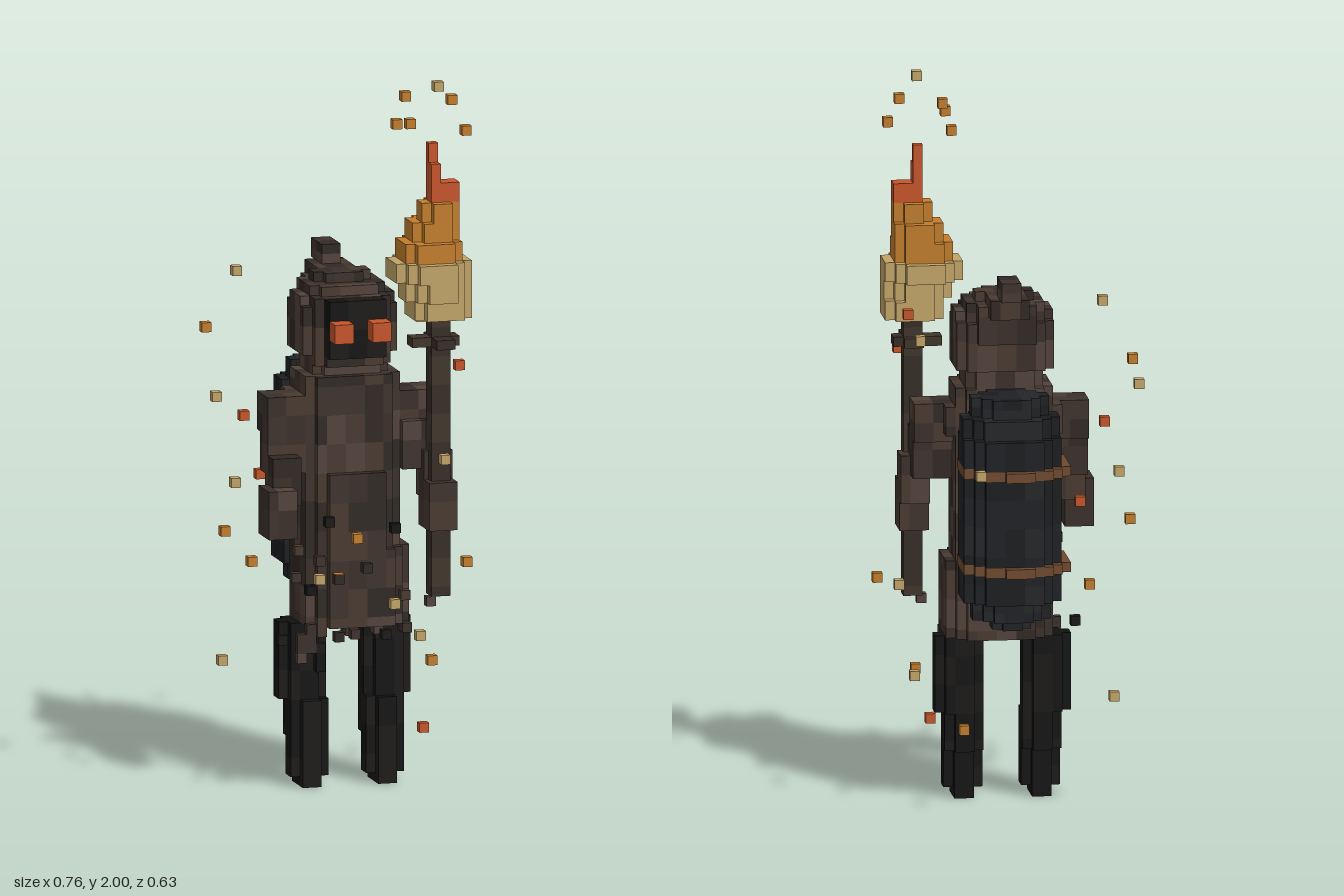
import * as THREE from 'three';
import { mergeVertices } from 'three/addons/utils/BufferGeometryUtils.js';

const U = 2 / 74; // edge of one voxel

const PALETTE = {
  cloth: [0x3a2f2a, 0x483930, 0x302824, 0x52423a, 0x3f332c],
  dark: [0x111111, 0x1a1816],
  barrel: [0x1a1b1e, 0x232528, 0x1e2023],
  leather: [0x70492f],
  wood: [0x40352a, 0x352c25],
  tan: [0xc2a468],
  orange: [0xc27d2c],
  red: [0xc6552a],
};
const materials = new Map();
function material(color) {
  if (!materials.has(color)) materials.set(color, new THREE.MeshStandardMaterial({ color }));
  return materials.get(color);
}

// One shade per small block of voxels
function shade(tone, x, y, z) {
  const list = PALETTE[tone];
  const n = Math.sin(Math.floor(x / 2) * 12.99 + Math.floor(y / 3) * 78.23 + Math.floor(z / 2) * 37.72) * 43758.55;
  return list[Math.floor((n - Math.floor(n)) * list.length)];
}

// Voxel grid: box() fills cells, build() turns exposed faces into meshes
class Voxels {
  constructor(ox, oz) {
    this.cells = new Map();
    this.origin = [ox, 0, oz];
  }
  // cut takes that many steps off the four upright corners
  box(part, tone, x0, x1, y0, y1, z0, z1, cut = 0) {
    for (let x = x0; x < x1; x++)
      for (let z = z0; z < z1; z++) {
        if (Math.min(x - x0, x1 - 1 - x) + Math.min(z - z0, z1 - 1 - z) < cut) continue;
        for (let y = y0; y < y1; y++)
          this.cells.set(`${x},${y},${z}`, { part, color: shade(tone, x, y, z), p: [x, y, z] });
      }
  }
  build(root) {
    const faces = new Map();
    for (const { part, color, p } of this.cells.values()) {
      for (let axis = 0; axis < 3; axis++)
        for (const dir of [1, -1]) {
          const q = [...p];
          q[axis] += dir;
          if (this.cells.has(q.join())) continue;
          const key = part + '|' + color;
          if (!faces.has(key)) faces.set(key, { part, color, pos: [], nor: [] });
          const f = faces.get(key);
          const a = (axis + 1) % 3, b = (axis + 2) % 3;
          const ring = [[0, 0], [1, 0], [1, 1], [0, 1]];
          if (dir < 0) ring.reverse();
          for (const i of [0, 1, 2, 0, 2, 3]) {
            const v = [...p];
            v[axis] += dir > 0 ? 1 : 0;
            v[a] += ring[i][0];
            v[b] += ring[i][1];
            f.pos.push(...v.map((c, k) => (c + this.origin[k]) * U));
            f.nor.push(...[0, 1, 2].map((k) => (k === axis ? dir : 0)));
          }
        }
    }
    for (const { part, color, pos, nor } of faces.values()) {
      let group = root.getObjectByName(part);
      if (!group) {
        group = new THREE.Group();
        group.name = part;
        root.add(group);
      }
      const geo = new THREE.BufferGeometry();
      geo.setAttribute('position', new THREE.Float32BufferAttribute(pos, 3));
      geo.setAttribute('normal', new THREE.Float32BufferAttribute(nor, 3));
      const mesh = new THREE.Mesh(mergeVertices(geo), material(color));
      mesh.name = part + 'Shade';
      group.add(mesh);
    }
  }
}

export function createModel() {
  const root = new THREE.Group();
  root.name = 'torchBearer';
  const body = new Voxels(0, 0.4);

  // Legs, mirrored about the middle of the coat (x = 1)
  for (const side of [-1, 1]) {
    const leg = (a, b, ...rest) =>
      body.box(side < 0 ? 'rightLeg' : 'leftLeg', 'dark', 1 + Math.min(side * a, side * b), 1 + Math.max(side * a, side * b), ...rest);
    leg(3, 5, 0, 1, -1, 3);
    leg(2, 6, 1, 5, -1, 3, 1);
    leg(2, 6, 5, 9, -2, 3, 1);
    leg(2, 7, 9, 17, -2, 2, 1);
  }

  // Coat, from flared hem to shoulders and collar
  body.box('coat', 'cloth', -4, 7, 17, 25, -4, 6, 2);
  body.box('coat', 'cloth', -4, 6, 25, 33, -4, 6, 2);
  body.box('coat', 'cloth', -4, 6, 33, 41, -3, 5, 1);
  body.box('coat', 'cloth', -5, 7, 38, 41, -2, 1);
  body.box('coat', 'cloth', -4, 6, 41, 43, -3, 5, 1);
  body.box('coat', 'cloth', -3, 5, 43, 45, -3, 4, 1);
  for (const x of [-3, 0, 3, 6]) body.box('coat', 'cloth', x, x + 1, 16, 17, 3, 5);

  // Arms, bent forward at the elbow
  body.box('rightArm', 'cloth', -8, -4, 37, 41, 0, 4);
  body.box('rightArm', 'cloth', -8, -4, 33, 38, 1, 4);
  body.box('rightArm', 'cloth', -8, -5, 30, 35, 3, 6);
  body.box('rightArm', 'cloth', -9, -6, 27, 32, 4, 8);
  body.box('leftArm', 'cloth', 6, 10, 37, 41, 0, 4);
  body.box('leftArm', 'cloth', 6, 10, 33, 38, 1, 5);
  body.box('leftArm', 'cloth', 8, 11, 30, 35, 3, 6);
  body.box('leftArm', 'cloth', 8, 11, 27, 32, 4, 8);

  // Hood with a tip that falls back
  body.box('hood', 'cloth', -3, 5, 44, 46, -3, 5, 1);
  body.box('hood', 'cloth', -4, 6, 45, 50, -4, 4, 1);
  body.box('hood', 'cloth', -4, 6, 50, 51, -4, 4, 2);
  body.box('hood', 'cloth', -3, 5, 46, 51, -4, 5, 1);
  body.box('hood', 'cloth', -3, 5, 51, 52, -4, 3, 1);
  body.box('hood', 'cloth', -2, 4, 52, 53, -3, 1, 1);
  body.box('hood', 'cloth', -2, 4, 48, 52, -5, -3);
  body.box('hood', 'cloth', -1, 3, 51, 53, -7, -2);
  body.box('hood', 'cloth', 0, 2, 53, 55, -8, -4);
  body.box('face', 'dark', -2, 4, 45, 51, 4, 6);
  for (const x of [-2, 2]) body.box('eyes', 'red', x, x + 2, 47, 49, 6, 8);

  // Barrel on the back, with two straps rounding its outer side
  body.box('barrel', 'barrel', -1, 3, 19, 21, -9, -5, 1);
  body.box('barrel', 'barrel', -3, 5, 20, 22, -10, -4, 2);
  body.box('barrel', 'barrel', -4, 6, 22, 39, -11, -2, 2);
  body.box('barrel', 'barrel', -4, 6, 39, 41, -10, -3, 2);
  body.box('barrel', 'barrel', -3, 5, 41, 43, -9, -3, 2);
  for (const y of [25, 35])
    for (const [x0, x1, z0, z1] of [[-1, 2, -12, -11], [-3, 4, -11, -10], [-4, 5, -10, -9], [-5, 6, -9, -3]])
      body.box('barrelStraps', 'leather', x0, x1, y, y + 1, z0, z1);

  // Scraps of cloth hanging and drifting by the coat
  const scraps = [
    [-8, 16, 7], [-6, 14, 7], [-5, 15, 7], [-4, 13, 7], [-2, 16, 7], [0, 16, 6], [3, 16, 7],
    [-7, 29, 5], [-6, 25, 6], [-5, 21, 7], [-6, 22, 5], [-4, 24, 7], [-3, 28, 7],
    [-2, 22, 7], [1, 23, 7], [4, 27, 7], [5, 20, 7], [8, 19, 6],
  ];
  scraps.forEach(([x, y, z], i) => body.box('clothScraps', i % 3 ? 'cloth' : 'dark', x, x + 1, y, y + (y < 16 ? 3 : 1), z, z + 1));
  body.build(root);

  // Torch: staff, prongs, bowl and flame
  const torch = new Voxels(0.5, 0.4);
  torch.box('staff', 'wood', 8, 10, 20, 49, 5, 7);
  torch.box('prongs', 'wood', 6, 11, 46, 47, 5, 7);
  torch.box('prongs', 'wood', 8, 10, 46, 47, 4, 9);
  torch.box('torchBowl', 'tan', 6, 12, 49, 51, 3, 9, 1);
  torch.box('torchBowl', 'tan', 5, 12, 51, 53, 3, 10, 2);
  torch.box('torchBowl', 'tan', 4, 12, 53, 55, 2, 10, 2);
  torch.box('flame', 'orange', 5, 11, 55, 57, 3, 9, 1);
  torch.box('flame', 'orange', 6, 11, 57, 59, 3, 8, 1);
  torch.box('flame', 'orange', 7, 11, 59, 61, 4, 8, 1);
  torch.box('flameTip', 'red', 8, 11, 61, 63, 5, 7);
  torch.box('flameTip', 'red', 8, 9, 63, 65, 5, 7);
  torch.box('flameTip', 'red', 8, 9, 65, 67, 5, 6);
  torch.build(root);

  // Sparks: centre of each floating cube, by tone
  const sparks = {
    tan: [
      [0.235, 1.986, 0.245], [-0.235, 1.42, -0.135], [-0.37, 1.125, 0.135], [0.12, 0.96, -0.27],
      [-0.315, 0.88, 0.135], [-0.26, 0.315, -0.19], [0.335, 0.64, -0.165], [0.285, 0.37, -0.11],
      [0.255, 1.29, 0], [0.12, 0.53, 0.213], [0.255, 0.935, 0.245], [-0.095, 0.61, 0.213],
    ],
    orange: [
      [0.18, 1.935, 0.11], [0.29, 1.935, 0.19], [0.315, 1.858, 0.245], [0.155, 1.885, 0.245], [0.155, 1.858, 0.11],
      [-0.315, 1.26, -0.165], [-0.345, 0.745, 0.135], [-0.205, 0.61, -0.085], [0.255, 0.345, 0.11],
      [0.365, 0.61, 0.08], [0.16, 0.235, -0.215], [-0.04, 0.61, 0.213], [0.013, 0.72, 0.213],
    ],
    red: [[0.28, 1.21, 0.3], [0.31, 1.4, -0.165], [-0.26, 1.045, 0.025], [-0.175, 0.85, -0.11], [0.2, 0.18, 0.22]],
  };
  const cube = new THREE.BoxGeometry(U, U, U);
  for (const [tone, list] of Object.entries(sparks))
    for (const p of list) {
      const spark = new THREE.Mesh(cube, material(PALETTE[tone][0]));
      spark.name = 'spark';
      spark.position.set(...p);
      root.add(spark);
    }
  return root;
}
